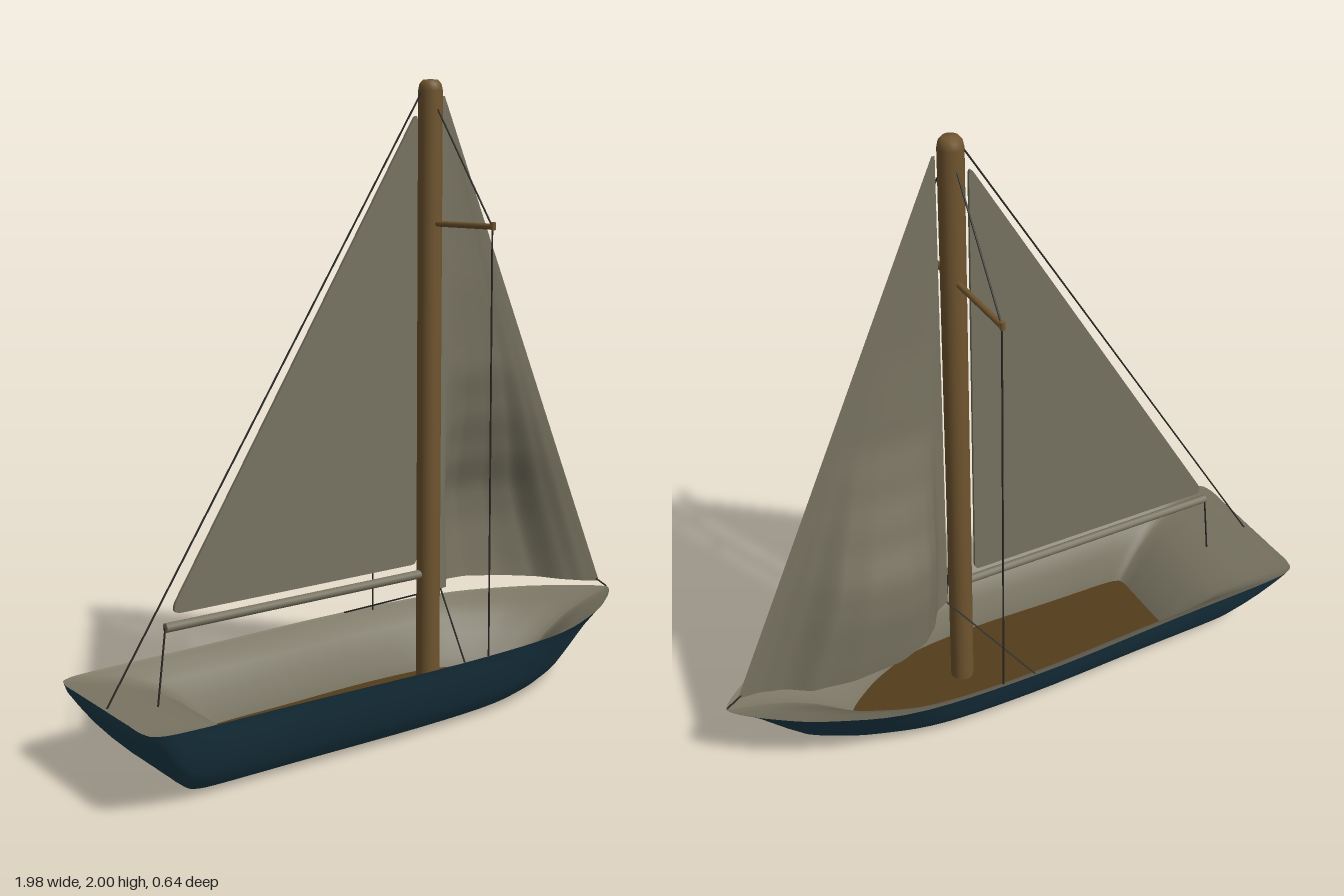
import * as THREE from 'three';

const mat = (name, color, side = THREE.FrontSide) => {
  const m = new THREE.MeshStandardMaterial({ color, side });
  m.name = name;
  return m;
};

export function createModel() {
  const boat = new THREE.Group();
  boat.name = 'sailboat';
  const hullBlue = mat('hull blue', 0x1f3f4e);
  const cream = mat('weathered cream', 0x787361, THREE.DoubleSide);
  const wood = mat('mast wood', 0x70552f);
  const floorBrown = mat('floor brown', 0x543c1c);
  const ropeDark = mat('rope dark', 0x2b2a26);

  const add = (name, geo, material) => {
    const mesh = new THREE.Mesh(geo, material);
    mesh.name = name;
    boat.add(mesh);
    return mesh;
  };

  // Half plan of the boat: fraction of length from the stern, fraction of beam
  const plan = new THREE.CatmullRomCurve3([
    [0, 0], [0, 0.45], [0.002, 0.78], [0.012, 0.87], [0.04, 0.915], [0.25, 0.95], [0.53, 1],
    [0.72, 0.93], [0.86, 0.64], [0.95, 0.3], [0.99, 0.09], [1, 0],
  ].map(([u, w]) => new THREE.Vector3(u, 0, w)));
  const half = plan.getPoints(55);
  const outline = [...half, ...half.slice(1, -1).reverse().map(p => new THREE.Vector3(p.x, 0, -p.z))];

  // Skin a list of [y, stern x, bow x, half width] levels
  function loft(levels) {
    const pos = [], idx = [], n = outline.length;
    for (const [y, x0, x1, w] of levels)
      for (const p of outline) pos.push(x0 + (x1 - x0) * p.x, y, w * p.z);
    for (let r = 0; r < levels.length - 1; r++)
      for (let i = 0; i < n; i++) {
        const a = r * n + i, b = r * n + (i + 1) % n;
        idx.push(a, a + n, b + n, a, b + n, b);
      }
    const g = new THREE.BufferGeometry();
    g.setAttribute('position', new THREE.Float32BufferAttribute(pos, 3));
    g.setIndex(idx);
    g.computeVertexNormals();
    return g;
  }

  add('hull', loft([
    [0.262, -0.99, 0.985, 0.318], [0.24, -0.985, 0.955, 0.305], [0.2, -0.96, 0.905, 0.284],
    [0.15, -0.925, 0.855, 0.256], [0.1, -0.882, 0.805, 0.226], [0.05, -0.832, 0.75, 0.193],
    [0.02, -0.796, 0.695, 0.163], [0.006, -0.77, 0.645, 0.135], [0, -0.73, 0.59, 0.1],
    [0, -0.5, 0.4, 0],
  ]), hullBlue);

  // Inner skin runs from the floor edge up to the rim
  add('innerDeck', loft([
    [0.055, -0.56, 0.57, 0.182], [0.085, -0.585, 0.6, 0.19], [0.15, -0.65, 0.69, 0.215],
    [0.2, -0.73, 0.78, 0.245], [0.232, -0.83, 0.87, 0.275], [0.255, -0.965, 0.965, 0.31],
    [0.262, -0.99, 0.985, 0.318],
  ]), cream);
  add('cockpitFloor', loft([[0.057, -0.35, 0.4, 0], [0.056, -0.56, 0.57, 0.182]]), floorBrown);

  // Mast with a softly rounded cap
  const mastProfile = [[0, 0.05], [0.038, 0.05], [0.038, 1.965], [0.034, 1.985], [0.024, 1.997], [0, 2]];
  const mast = add('mast', new THREE.LatheGeometry(mastProfile.map(p => new THREE.Vector2(...p)), 24), wood);
  mast.position.x = 0.168;

  // Straight round bar between two points
  function bar(name, from, to, radius, material, sides = 12) {
    const a = new THREE.Vector3(...from), b = new THREE.Vector3(...to);
    const d = b.clone().sub(a);
    const mesh = add(name, new THREE.CylinderGeometry(radius, radius, d.length(), sides), material);
    mesh.position.copy(a).add(b).multiplyScalar(0.5);
    mesh.quaternion.setFromUnitVectors(new THREE.Vector3(0, 1, 0), d.normalize());
  }
  bar('spreader', [0.168, 1.565, -0.295], [0.168, 1.565, 0.295], 0.009, wood);
  bar('boom', [-0.785, 0.453, 0], [0.14, 0.453, 0], 0.014, cream);

  // Rigging
  const rope = (name, a, b) => bar(name, a, b, 0.0028, ropeDark, 6);
  rope('backstay', [-0.975, 0.255, 0], [0.14, 1.97, 0]);
  rope('mainsheet', [-0.785, 0.453, 0], [-0.815, 0.22, 0]);
  rope('forestayEnd', [0.93, 0.3, 0], [0.98, 0.265, 0]);
  for (const s of [1, -1]) {
    rope('upperShroud', [0.168, 1.91, 0.035 * s], [0.168, 1.565, 0.292 * s]);
    rope('lowerShroud', [0.168, 1.565, 0.292 * s], [0.168, 0.255, 0.298 * s]);
    rope('jibSheet', [0.22, 0.39, 0], [0.06, 0.262, 0.312 * s]);
    bar('spreaderTip', [0.168, 1.555, 0.295 * s], [0.168, 1.578, 0.295 * s], 0.008, wood, 8);
  }

  // Mainsail: thin triangle with rounded corners
  const sail = new THREE.Shape();
  sail.moveTo(-0.735, 0.49);
  sail.lineTo(0.095, 0.49);
  sail.quadraticCurveTo(0.116, 0.49, 0.116, 0.51);
  sail.lineTo(0.116, 1.875);
  sail.quadraticCurveTo(0.114, 1.902, 0.098, 1.875);
  sail.lineTo(-0.75, 0.525);
  sail.quadraticCurveTo(-0.768, 0.49, -0.735, 0.49);
  const mainGeo = new THREE.ExtrudeGeometry(sail, { depth: 0.01, bevelEnabled: false });
  mainGeo.translate(0, 0, -0.005);
  add('mainsail', mainGeo, cream);

  // Piecewise smooth lookup through [key, value] points
  function lookup(table, t) {
    for (let i = 1; i < table.length; i++) {
      const [k0, v0] = table[i - 1], [k1, v1] = table[i];
      if (t <= k1) return v0 + (v1 - v0) * THREE.MathUtils.smoothstep(t, k0, k1) * 0.4 + (v1 - v0) * 0.6 * (t - k0) / (k1 - k0);
    }
    return table[table.length - 1][1];
  }

  // Jib: triangle grid filled out to one side near the foot
  const across = [[0, 0], [0.06, 0.12], [0.13, 0.58], [0.2, 0.84], [0.33, 1], [0.53, 0.95], [0.7, 0.73], [0.83, 0.27], [0.92, 0.08], [1, 0]];
  const belly = [[0.29, 0.148], [0.4, 0.158], [0.55, 0.166], [0.66, 0.157], [0.8, 0.105], [0.95, 0.06], [1.1, 0.027], [1.4, 0.01], [1.95, 0]];
  const jib = new THREE.PlaneGeometry(1, 1, 48, 48);
  const p = jib.attributes.position;
  for (let i = 0; i < p.count; i++) {
    const u = p.getX(i) + 0.5, v = p.getY(i) + 0.5;
    const x = 0.215 + u * (0.728 - 0.718 * v);
    const foot = 0.39 - 0.1 * u;
    const y = foot + (1.95 - foot) * v;
    p.setXYZ(i, x, y, -lookup(belly, y) * lookup(across, u));
  }
  jib.computeVertexNormals();
  add('jib', jib, cream);

  return boat;
}
